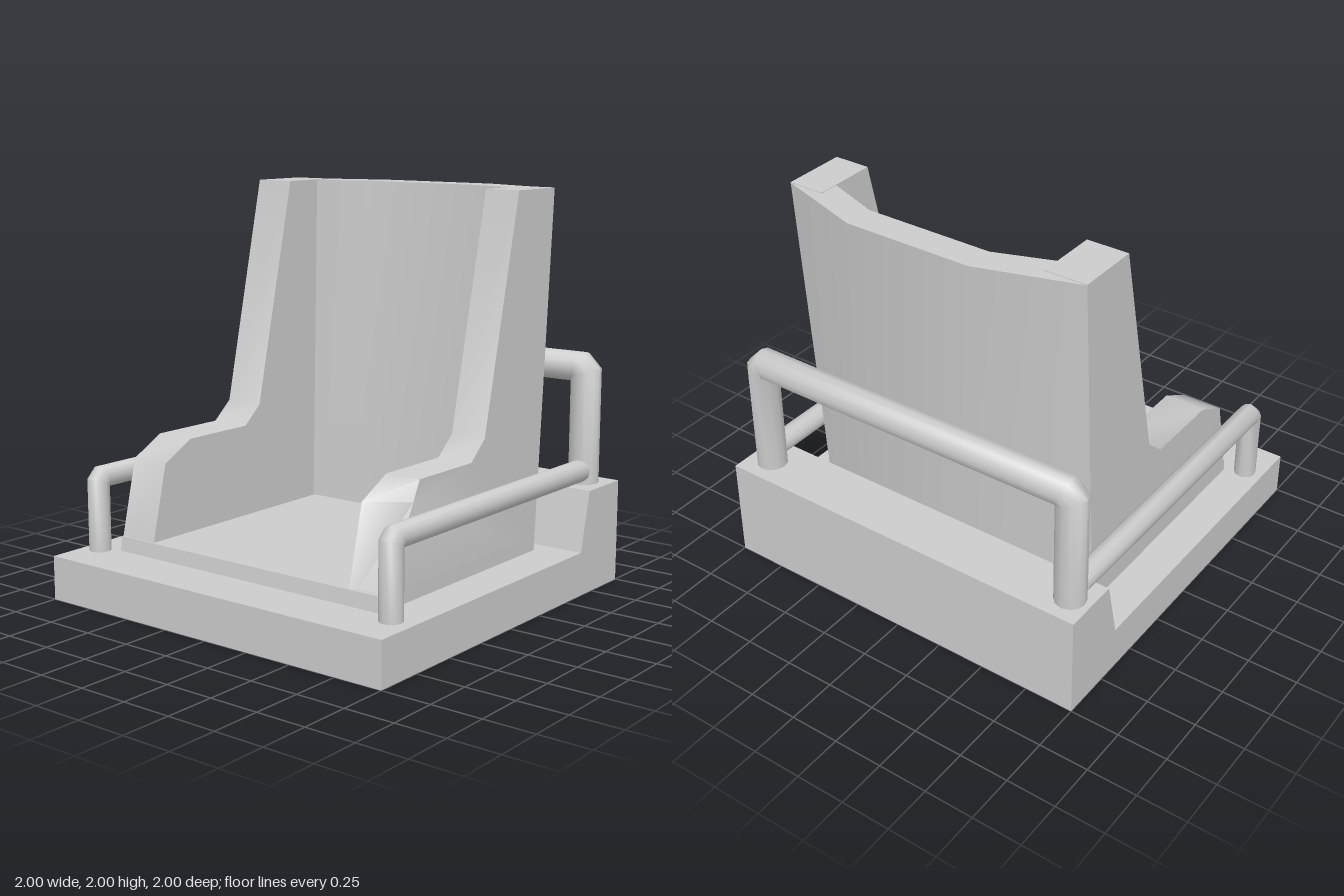
import * as THREE from 'three';
import { toCreasedNormals } from 'three/addons/utils/BufferGeometryUtils.js';

const material = new THREE.MeshStandardMaterial({ color: 0xcccccc });

function add(parent, name, geometry, crease = 0.6) {
  const mesh = new THREE.Mesh(toCreasedNormals(geometry, crease), material);
  mesh.name = name;
  parent.add(mesh);
}

// Side profile given as [z, y], extruded across x from x0 to x1
function sideExtrude(profile, x0, x1) {
  const shape = new THREE.Shape(profile.map(([z, y]) => new THREE.Vector2(-z, y)));
  return new THREE.ExtrudeGeometry(shape, { depth: x1 - x0, bevelEnabled: false })
    .rotateY(Math.PI / 2)
    .translate(x0, 0, 0);
}

// Moves each vertex of a geometry by a rule
function warp(geometry, rule) {
  const pos = geometry.attributes.position;
  const v = new THREE.Vector3();
  for (let i = 0; i < pos.count; i++) {
    rule(v.fromBufferAttribute(pos, i));
    pos.setXYZ(i, v.x, v.y, v.z);
  }
  return geometry;
}

// Round bar along a flat path with chamfered elbows; normal is square to the path's plane
function bar(corners, normal, r, sides = 12) {
  const pts = corners.map((c) => new THREE.Vector3(...c));
  const n = new THREE.Vector3(...normal);
  const path = [];
  pts.forEach((p, i) => {
    if (i === 0 || i === pts.length - 1) return path.push(p);
    for (const q of [pts[i - 1], pts[i + 1]]) {
      path.push(p.clone().add(q.clone().sub(p).setLength(r * 0.42)));
    }
  });
  const verts = [], index = [];
  path.forEach((p, i) => {
    const before = p.clone().sub(path[Math.max(i - 1, 0)]).normalize();
    const after = path[Math.min(i + 1, path.length - 1)].clone().sub(p).normalize();
    const t = before.clone().add(after).normalize();
    const mitre = 1 / Math.max(t.dot(before), t.dot(after));
    const side = n.clone().cross(t);
    for (let k = 0; k < sides; k++) {
      const a = (k / sides) * Math.PI * 2;
      const v = p.clone().addScaledVector(n, Math.cos(a) * r)
        .addScaledVector(side, Math.sin(a) * r * mitre);
      verts.push(v.x, v.y, v.z);
    }
  });
  for (let i = 0; i < path.length - 1; i++) {
    for (let k = 0; k < sides; k++) {
      const a = i * sides + k, b = i * sides + ((k + 1) % sides);
      index.push(a, b + sides, b, a, a + sides, b + sides);
    }
  }
  // End caps
  const last = (path.length - 1) * sides;
  for (let k = 1; k < sides - 1; k++) {
    index.push(0, k, k + 1, last, last + k + 1, last + k);
  }
  const g = new THREE.BufferGeometry();
  g.setAttribute('position', new THREE.Float32BufferAttribute(verts, 3));
  g.setIndex(index);
  return g;
}

export function createModel() {
  const model = new THREE.Group();
  model.name = 'seatOnPlatform';

  // Platform with a raised block along the rear
  add(model, 'platform', sideExtrude(
    [[1, 0], [1, 0.22], [-0.64, 0.22], [-0.71, 0.52], [-1, 0.52], [-1, 0]], -1, 1));

  // Flat seat pan
  add(model, 'seatPan', sideExtrude(
    [[0.732, 0.21], [0.72, 0.292], [-0.53, 0.292], [-0.53, 0.21]], -0.81, 0.79));

  // Armrests that sweep up into the wings of the backrest
  const armProfile = [[0.73, 0.21], [0.62, 0.67], [0.44, 0.765], [0.03, 0.765],
    [-0.08, 0.86], [-0.34, 2], [-0.66, 2], [-0.54, 0.21]];
  add(model, 'rightArm', sideExtrude(armProfile, -0.81, -0.6), 1);
  // The left arm's outer front corner is cut back
  add(model, 'leftArm', warp(sideExtrude(armProfile, 0.605, 0.79), (v) => {
    if (v.x > 0.7 && Math.abs(v.y - 0.67) < 0.01) v.z = 0.488;
  }), 1);

  // Three-panel backrest: four columns, each with its own bottom and top depth
  const columns = {
    inner: { x: [-0.6, -0.32, 0.33, 0.605], low: [-0.52, -0.54, -0.54, -0.51], high: [-0.56, -0.66, -0.66, -0.56] },
    outer: { x: [-0.81, -0.32, 0.33, 0.79], low: [-0.54, -0.64, -0.64, -0.54], high: [-0.66, -0.81, -0.81, -0.66] },
  };
  add(model, 'backrest', warp(new THREE.BoxGeometry(3, 1, 1, 3, 1, 1), (v) => {
    const i = Math.round(v.x + 1.5);
    const face = v.z > 0 ? columns.inner : columns.outer;
    const top = v.y > 0;
    v.set(face.x[i], top ? 1.997 : 0.21, (top ? face.high : face.low)[i]);
  }));

  // Side rails, running from the front posts back to the rear hoop
  for (const [name, x] of [['rightRail', -0.905], ['leftRail', 0.885]]) {
    add(model, name, bar([[x, 0.2, 0.778], [x, 0.588, 0.778], [x, 0.588, -0.81]], [1, 0, 0], 0.056), 0.9);
  }

  // Rear hoop standing on the raised block
  add(model, 'rearHoop', bar(
    [[-0.895, 0.5, -0.865], [-0.895, 1.105, -0.865], [0.875, 1.105, -0.865], [0.875, 0.5, -0.865]],
    [0, 0, 1], 0.076), 0.9);

  return model;
}
